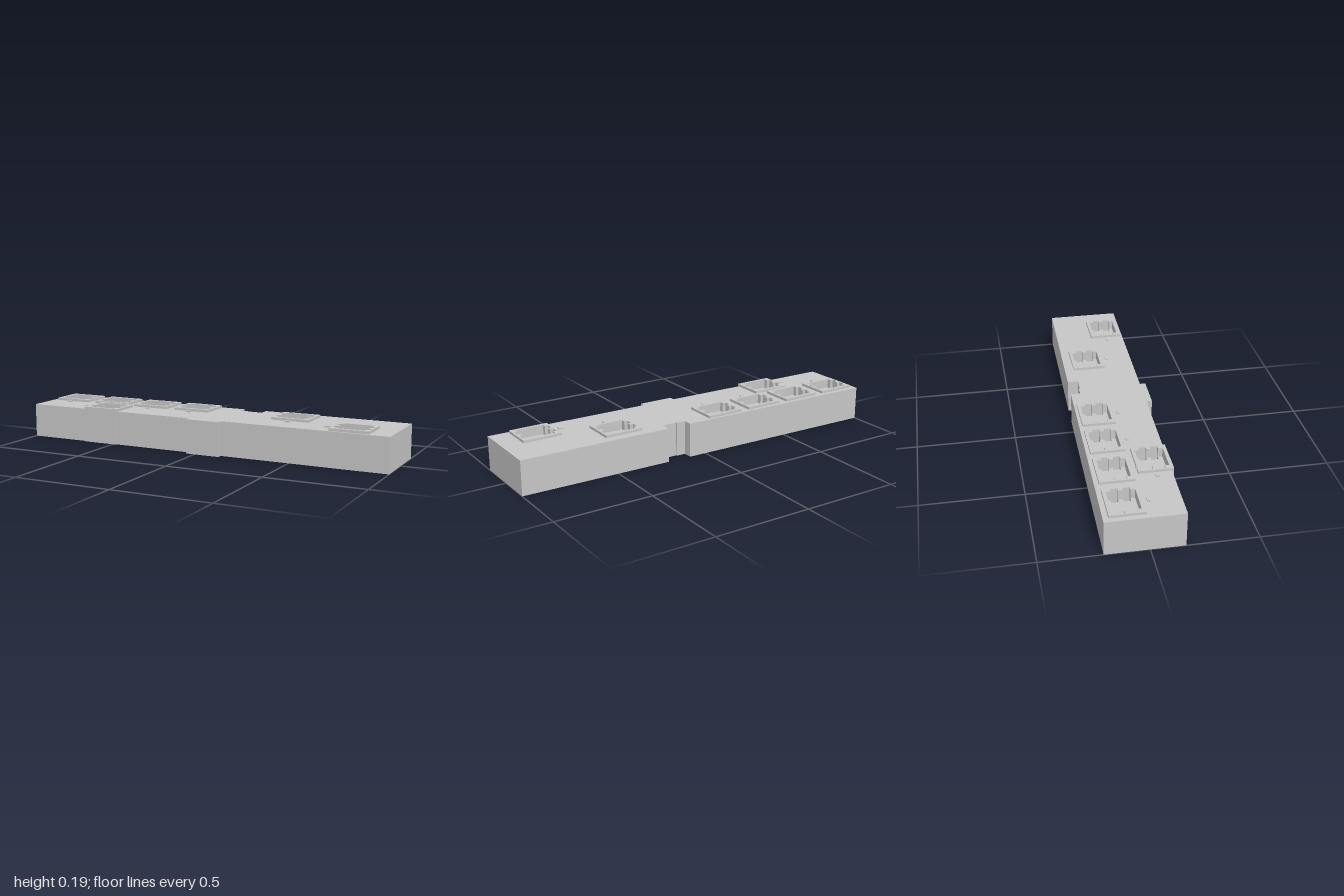
import * as THREE from 'three';

const BODY_TOP = 0.1755, RIM_TOP = 0.1885, FLOOR_TOP = 0.14, FLOOR_BOTTOM = 0.12;

// Plan of the body as [x, z] corners
const outline = [
  [-1, -0.208], [0.092, -0.194], [0.092, -0.146], [0.14, -0.146], [0.14, -0.14], [0.218, -0.139],
  [0.218, -0.193], [1, -0.181], [1, 0.192], [0.135, 0.18], [0.135, 0.209], [-0.047, 0.206],
  [-0.047, 0.177], [-0.475, 0.17], [-0.475, 0.177], [-0.672, 0.177], [-0.672, 0.167], [-1, 0.162],
];

// Centres of the sockets, and the offset of the small marker beside each one
const sockets = [
  { x: -0.874, z: -0.098, mark: [0, 0.112] },
  { x: -0.626, z: -0.098, mark: [0, 0.112] },
  { x: -0.38, z: -0.098, mark: [0, 0.112] },
  { x: -0.133, z: -0.098, mark: [0, 0.112] },
  { x: 0.438, z: -0.06, mark: [0, 0.112] },
  { x: 0.796, z: 0.093, mark: [-0.135, 0] },
  { x: -0.572, z: 0.093, mark: [-0.128, 0] },
];

const rect = (w, d, cx = 0, cz = 0) => [
  [cx - w, cz - d], [cx + w, cz - d], [cx + w, cz + d], [cx - w, cz + d],
];

// Pocket with two clip notches on each side
const side = [[0.0725, -0.067], [0.0725, -0.045], [0.09, -0.045], [0.09, -0.011], [0.0725, -0.011],
  [0.0725, 0.011], [0.09, 0.011], [0.09, 0.045], [0.0725, 0.045], [0.0725, 0.067]];
const pocket = [...side, ...side.map(([x, z]) => [-x, -z])];

// Through slots in the pocket floor
const slots = [];
for (const sx of [-1, 1]) for (const sz of [-1, 1]) slots.push(rect(0.0185, 0.017, sx * 0.0715, sz * 0.028));

// Plan corners as counter-clockwise shape points
const toPoints = (pts, dx = 0, dz = 0) => pts.map(([x, z]) => new THREE.Vector2(x + dx, -(z + dz))).reverse();

// Extrudes a plan upwards from y0 to y1
function slab(plan, holes, y0, y1) {
  const shape = new THREE.Shape(plan);
  holes.forEach((h) => shape.holes.push(new THREE.Path(h)));
  const geo = new THREE.ExtrudeGeometry(shape, { depth: y1 - y0, bevelEnabled: false });
  return geo.rotateX(-Math.PI / 2).translate(0, y0, 0);
}

export function createModel() {
  const model = new THREE.Group();
  const grey = new THREE.MeshStandardMaterial({ color: 0xc6c6c6 });
  grey.name = 'plain grey';

  const add = (name, geo) => {
    const mesh = new THREE.Mesh(geo, grey);
    mesh.name = name;
    model.add(mesh);
    return mesh;
  };
  const cut = (shapes) => sockets.flatMap((s) => shapes.map((p) => toPoints(p, s.x, s.z)));
  const plan = toPoints(outline);

  // Body in three layers: lower wells, socket floor, upper pockets
  add('lowerBody', slab(plan, cut([rect(0.09, 0.062)]), 0, FLOOR_BOTTOM));
  add('socketFloor', slab(plan, cut(slots), FLOOR_BOTTOM, FLOOR_TOP));
  add('upperBody', slab(plan, cut([pocket]), FLOOR_TOP, BODY_TOP));

  // Raised rim and small marker for each socket
  const rim = slab(toPoints(rect(0.1, 0.084)), [toPoints(pocket)], BODY_TOP, RIM_TOP);
  const marker = new THREE.BoxGeometry(0.024, 0.008, 0.016);
  for (const s of sockets) {
    add('socketRim', rim).position.set(s.x, 0, s.z);
    add('socketMarker', marker).position.set(s.x + s.mark[0], BODY_TOP + 0.003, s.z + s.mark[1]);
  }
  return model;
}
